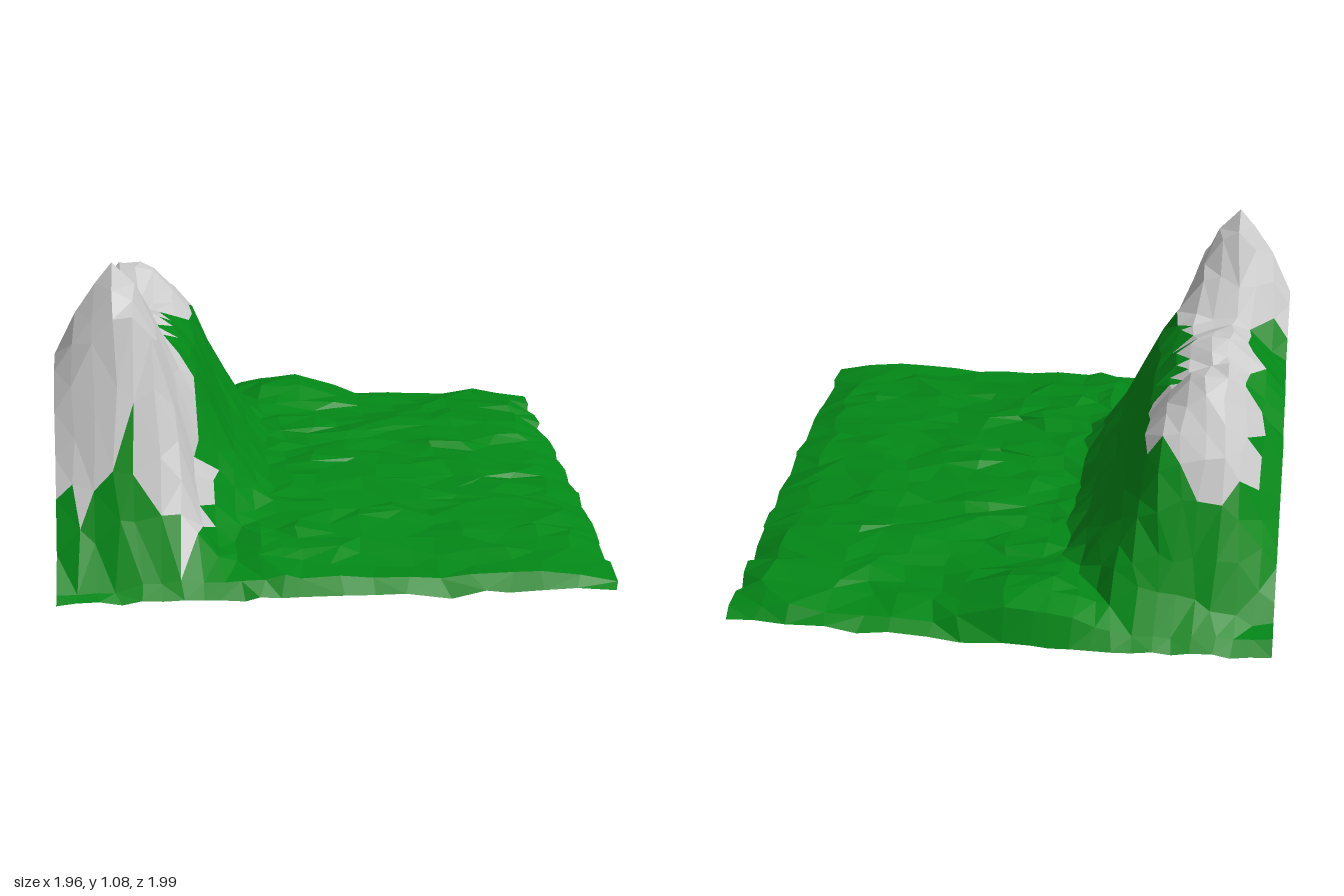
import * as THREE from 'three';

// small seeded random in -1..1
function makeRandom(seed) {
  return () => {
    seed = (seed * 16807) % 2147483647;
    return (seed / 2147483647) * 2 - 1;
  };
}

// piecewise linear curve through [position, value] points
function curve(points, t) {
  if (t <= points[0][0]) return points[0][1];
  for (let i = 1; i < points.length; i++) {
    const [p0, v0] = points[i - 1], [p1, v1] = points[i];
    if (t <= p1) return v0 + (v1 - v0) * (t - p0) / (p1 - p0);
  }
  return points[points.length - 1][1];
}

// mountain outline across x and along z
const ACROSS = [[-0.97, 0.82], [-0.87, 1.07], [-0.76, 1.18], [-0.66, 1.0], [-0.6, 0.84],
  [-0.48, 0.62], [-0.37, 0.36], [-0.22, 0.14], [-0.1, 0]];
const ALONG = [[-0.9, 0], [-0.83, 0.18], [-0.75, 0.34], [-0.65, 0.58], [-0.55, 0.72], [-0.45, 0.82],
  [-0.36, 0.87], [-0.27, 0.71], [-0.2, 0.69], [-0.1, 0.73], [0, 0.77], [0.1, 0.73], [0.28, 0.72],
  [0.35, 0.86], [0.41, 1.04], [0.49, 1.18], [0.56, 1.06], [0.64, 0.92], [0.7, 0.67], [0.8, 0.36],
  [0.86, 0.2], [0.95, 0]];
// how far the foot draws in at both ends, and how much the cut side drops
const DRAW_IN = [[-0.8, 0.14], [-0.5, 0], [0.35, 0], [0.53, 0.1], [0.8, 0.22]];
const DROP = [[-0.6, 0.55], [-0.45, 0.45], [-0.28, 0.3], [0.2, 0.23], [0.55, 0.3], [0.7, 0.38]];
// snow line on the ridge, front face and back face, and its limit in x
const SNOW_RIDGE = [[-0.5, 0.61], [-0.3, 0.62], [-0.2, 0.65], [0.2, 0.68], [0.32, 0.66], [0.45, 0.52], [0.52, 0.35]];
const SNOW_FRONT = [[-0.97, 0.38], [-0.9, 0.29], [-0.81, 0.34], [-0.73, 0.59], [-0.62, 0.3],
  [-0.52, 0.15], [-0.44, 0.22]];
const SNOW_BACK = [[-0.95, 0.5], [-0.78, 0.46], [-0.55, 0.61]];
const SNOW_LIMIT = [[-0.28, -0.48], [-0.2, -0.59], [0.2, -0.59], [0.3, -0.54], [0.5, -0.43]];
const PLAIN = [[-1, 0.09], [-0.2, 0.13], [0.2, 0.11], [0.6, 0.1], [0.85, 0.08], [0.98, 0.03]];

function mountainHeight(x, z) {
  const f = curve(ACROSS, x + curve(DRAW_IN, z) * curve([[-0.64, 0], [-0.5, 1]], x));
  const s = curve(ALONG, z) * (1 - curve(DROP, z) * Math.max(0, (-0.76 - x) / 0.21));
  if (f < 0.01 || s < 0.01) return 0;
  // rounded minimum of both outlines
  return Math.pow(Math.pow(f, -8) + Math.pow(s, -8), -1 / 8);
}

function plainHeight(x, z) {
  const knoll = 0.1 * Math.max(0, 1 - Math.hypot((x + 0.08) / 0.32, (z + 0.87) / 0.28));
  return curve(PLAIN, x) * (1 - 0.5 * z ** 4) + knoll + 0.008 * Math.sin(x * 6 + z * 4);
}

function isSnow(x, y, z) {
  if (x > curve(SNOW_LIMIT, z)) return false;
  if (z > 0.52) return y > curve(SNOW_FRONT, x);
  return y > (z < -0.5 ? curve(SNOW_BACK, x) : curve(SNOW_RIDGE, z));
}

function meshFrom(name, positions, color) {
  const geometry = new THREE.BufferGeometry();
  geometry.setAttribute('position', new THREE.Float32BufferAttribute(positions, 3));
  geometry.computeVertexNormals();
  const mesh = new THREE.Mesh(geometry, new THREE.MeshStandardMaterial({
    color, flatShading: true, side: THREE.DoubleSide }));
  mesh.name = name;
  return mesh;
}

export function createModel() {
  const group = new THREE.Group();
  group.name = 'mountainTerrain';
  const random = makeRandom(4711);
  const nx = 21, nz = 28;

  // jittered grid of terrain points, denser under the mountain
  const grid = [];
  for (let j = 0; j <= nz; j++) {
    const row = [];
    for (let i = 0; i <= nx; i++) {
      const rimZ = j === 0 || j === nz;
      const summit = i === 3 && (j === 9 || j === 21);
      const amount = summit ? 0 : i < 13 ? 0.015 : 0.033;
      const jx = random() * amount, jz = random() * amount, bump = random();
      let x = i <= 12 ? -0.97 + i * 0.07 : -0.13 + (i - 12) * 0.122;
      if (i > 0 && i < nx) x += jx;
      // outermost rows form the rim
      let z = -0.98 + j * 0.07 + jz;
      if (j < 2) z = -0.95 - 0.045 * Math.cos(x * 1.5) + j * 0.045 + jz * 0.15;
      if (j > nz - 2) z = 0.99 - (nz - j) * 0.04 + jz * 0.15;
      if (i === nx) x = 0.98 - 0.025 * z * z + jx * 0.3;
      const peak = mountainHeight(x, z);
      let y = plainHeight(x, z) + 0.013 * bump;
      if (peak > y) y = peak + (summit ? 0 : 0.014 * bump);
      if (rimZ) y = 0.02 + 0.008 * bump;
      if (i === nx) y = 0.025 + 0.015 * bump;
      if (i === nx && rimZ) y = 0.01;
      if (i === nx - 5 && j === nz) y = 0;
      row.push([x, y, z]);
    }
    grid.push(row);
  }

  // sort the triangles into grass and snow
  const grass = [], snow = [];
  const addTriangle = (a, b, c) => {
    const mid = [0, 1, 2].map((k) => (a[k] + b[k] + c[k]) / 3);
    (isSnow(...mid) ? snow : grass).push(...a, ...b, ...c);
  };
  for (let j = 0; j < nz; j++) {
    for (let i = 0; i < nx; i++) {
      const a = grid[j][i], b = grid[j][i + 1], c = grid[j + 1][i], d = grid[j + 1][i + 1];
      if (Math.abs(a[1] - d[1]) < Math.abs(b[1] - c[1])) {
        addTriangle(a, c, d);
        addTriangle(a, d, b);
      } else {
        addTriangle(a, c, b);
        addTriangle(b, c, d);
      }
    }
  }
  group.add(meshFrom('grass', grass, 0x038817), meshFrom('snow', snow, 0xcccccc));

  // flat cut face closing the mountain on its outer side
  const wall = [];
  for (let j = 1; j < nz - 1; j++) {
    const a = grid[j][0], b = grid[j + 1][0];
    const a0 = [a[0], 0.035, a[2]], b0 = [b[0], 0.035, b[2]];
    wall.push(...a0, ...b0, ...b, ...a0, ...b, ...a);
  }
  group.add(meshFrom('cutFace', wall, 0xcccccc));
  return group;
}
